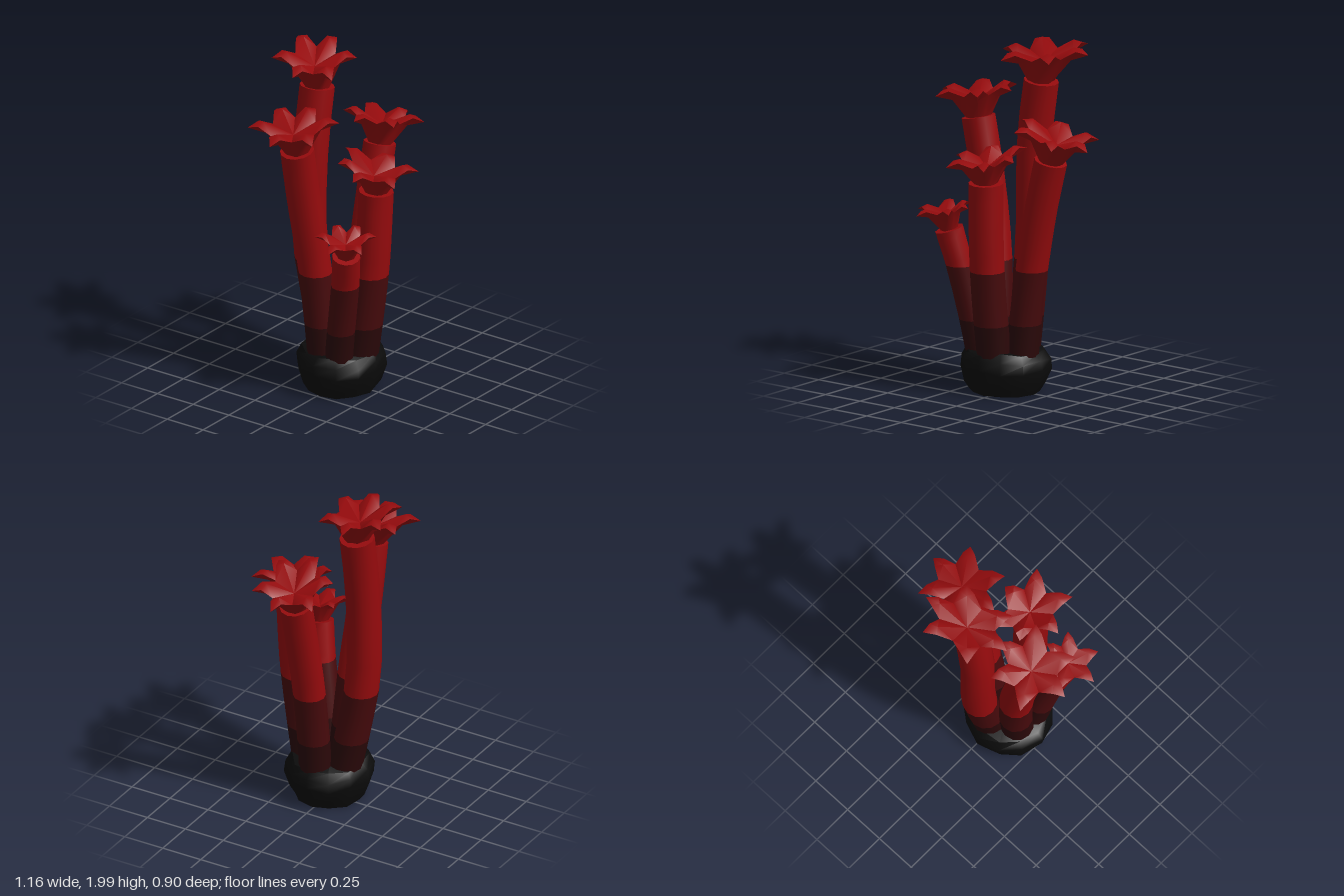
import * as THREE from 'three';
import { toCreasedNormals } from 'three/addons/utils/BufferGeometryUtils.js';

const V = (x, y, z) => new THREE.Vector3(x, y, z);
const mat = (name, color, side = THREE.FrontSide) => {
  const m = new THREE.MeshStandardMaterial({ color, side });
  m.name = name;
  return m;
};

// triangles (lists of three points) to a geometry with sharp edges kept
function fromTriangles(tris, crease) {
  const g = new THREE.BufferGeometry().setFromPoints(tris.flat());
  return toCreasedNormals(g, crease);
}

// skin a stack of rings, with optional end caps
function loft(rings, crease, capBottom, capTop) {
  const tris = [], n = rings[0].length;
  const centre = r => r.reduce((s, p) => s.add(p), V(0, 0, 0)).divideScalar(n);
  for (let j = 0; j < rings.length - 1; j++) {
    for (let i = 0; i < n; i++) {
      const k = (i + 1) % n;
      const a = rings[j][i], b = rings[j][k], c = rings[j + 1][k], d = rings[j + 1][i];
      tris.push([a, d, b], [b, d, c]);
    }
  }
  const bottom = rings[0], top = rings[rings.length - 1];
  for (let i = 0; i < n; i++) {
    const k = (i + 1) % n;
    if (capBottom) tris.push([centre(bottom), bottom[i], bottom[k]]);
    if (capTop) tris.push([centre(top), top[k], top[i]]);
  }
  return fromTriangles(tris, crease);
}

// ring of points around the stalk at height y; upper rings lean with the stalk
function stalkRing(curve, y, radius, lean) {
  let lo = 0, hi = 1;
  for (let i = 0; i < 30; i++) {
    const mid = (lo + hi) / 2;
    if (curve.getPoint(mid).y < y) lo = mid; else hi = mid;
  }
  const p = curve.getPoint(lo), t = curve.getTangent(lo);
  return Array.from({ length: 12 }, (_, i) => {
    const a = i / 12 * Math.PI * 2, c = Math.cos(a) * radius, s = Math.sin(a) * radius;
    return V(p.x + c, p.y - lean * (t.x * c + t.z * s) / t.y, p.z + s);
  });
}

// six-petalled cup: tips are [x, z] pairs, heights follow a tilted plane
function flowerGeometry(base, { tips, y, sx, sz }) {
  const n = tips.length;
  const cx = tips.reduce((s, t) => s + t[0], 0) / n;
  const cz = tips.reduce((s, t) => s + t[1], 0) / n;
  const angle = t => Math.atan2(t[1] - cz, t[0] - cx);
  const T = tips.slice().sort((p, q) => angle(p) - angle(q))
    .map(([x, z]) => V(x, y + sx * (x - cx) + sz * (z - cz), z));
  const C = V(cx, y, cz);
  const size = T.reduce((s, t) => s + t.distanceTo(C), 0) / n;
  const at = (p, f, dy) => C.clone().lerp(p, f).add(V(0, dy * size, 0));
  const heart = at(C, 0, -0.2);
  const ring = p => base.clone().add(p.clone().sub(C).setLength(size * 0.28));
  const valley = T.map((t, i) => at(t.clone().lerp(T[(i + 1) % n], 0.5), 0.65, -0.06));
  // arched edge of a petal, halfway from valley to tip
  const edge = (v, t) => at(v.clone().lerp(t, 0.5), 1.04, 0.13);
  const tris = [];
  T.forEach((t, i) => {
    const v0 = valley[(i + n - 1) % n], v1 = valley[i];
    const e0 = edge(v0, t), e1 = edge(v1, t);
    const ridge = at(t, 0.66, 0.15), keel = at(t, 0.6, -0.14);
    const b0 = ring(v0), b = ring(t), b1 = ring(v1);
    // upper face
    tris.push([heart, ridge, v0], [heart, v1, ridge]);
    tris.push([v0, ridge, e0], [e0, ridge, t], [ridge, v1, e1], [ridge, e1, t]);
    // underside and cup
    tris.push([keel, v0, e0], [keel, e0, t], [keel, t, e1], [keel, e1, v1]);
    tris.push([b0, v0, b], [b, v0, keel], [b, keel, b1], [b1, keel, v1]);
  });
  return fromTriangles(tris, 1.0);
}

export function createModel() {
  const model = new THREE.Group();
  const black = mat('rock black', 0x0b0b0b);
  const darkest = mat('deep maroon', 0x2b0809);
  const dark = mat('maroon', 0x470a0c);
  const red = mat('red', 0x960b0d);
  const petalRed = mat('petal red', 0x960b0d, THREE.DoubleSide);
  const add = (parent, name, geometry, material) => {
    const m = new THREE.Mesh(geometry, material);
    m.name = name;
    parent.add(m);
  };

  // lumpy base rock: height and width factor of each loop
  const loops = [[0, 0.78], [0.05, 0.89], [0.14, 1], [0.2, 0.99], [0.245, 0.86]];
  const rockRings = loops.map(([y, f], j) => Array.from({ length: 12 }, (_, i) => {
    const a = i / 12 * Math.PI * 2;
    const r = f * (1 + 0.03 * Math.sin(i * 2.7 + j * 1.3));
    const lift = y > 0 ? 0.01 * Math.sin(i * 1.9 + j) : 0;
    return V(-0.035 + 0.265 * r * Math.cos(a), y + lift, 0.015 + 0.25 * r * Math.sin(a));
  }));
  add(model, 'baseRock', loft(rockRings, 0.9, true, true), black);

  // each stalk: centre line from rock to top, radius, and its flower
  const stalks = [
    { name: 'tall', r: 0.1, path: [[0, 0.15, -0.09], [-0.01, 0.45, -0.15], [-0.02, 0.85, -0.215], [-0.01, 1.4, -0.215], [0.045, 1.77, -0.21]],
      flower: { y: 1.93, sx: 0.03, sz: -0.12, tips: [[0.19, -0.45], [0.33, -0.28], [0.22, -0.06], [-0.09, -0.01], [-0.22, -0.19], [-0.12, -0.41]] } },
    { name: 'backLeftmost', r: 0.097, path: [[-0.14, 0.15, -0.02], [-0.15, 0.45, -0.045], [-0.18, 0.8, -0.07], [-0.24, 1.15, -0.09], [-0.315, 1.53, -0.09]],
      flower: { y: 1.675, sx: 0.12, sz: 0, tips: [[-0.46, -0.33], [-0.21, -0.31], [-0.1, -0.12], [-0.17, 0.1], [-0.46, 0.12], [-0.58, -0.09]] } },
    { name: 'leaning', r: 0.093, path: [[0.095, 0.15, 0.03], [0.125, 0.45, 0.03], [0.18, 0.8, 0.03], [0.24, 1.1, 0.035], [0.31, 1.385, 0.035]],
      flower: { y: 1.53, sx: -0.23, sz: 0, tips: [[0.24, -0.17], [0.49, -0.18], [0.58, 0.04], [0.47, 0.23], [0.19, 0.22], [0.08, 0.02]] } },
    { name: 'front', r: 0.1, path: [[-0.015, 0.15, 0.13], [-0.015, 0.45, 0.175], [-0.01, 0.8, 0.215], [0, 1.25, 0.235]],
      flower: { y: 1.385, sx: 0.03, sz: -0.1, tips: [[0.08, -0.04], [0.19, 0.22], [0.14, 0.43], [-0.12, 0.45], [-0.22, 0.23], [-0.1, 0.04]] } },
    { name: 'short', r: 0.08, path: [[-0.155, 0.15, 0.08], [-0.19, 0.45, 0.13], [-0.235, 0.75, 0.19], [-0.275, 0.94, 0.225]],
      flower: { y: 1.055, sx: 0.12, sz: -0.1, tips: [[-0.38, 0.08], [-0.22, 0.1], [-0.14, 0.22], [-0.17, 0.36], [-0.37, 0.4], [-0.48, 0.25]] } },
  ];

  for (const { name, r, path, flower } of stalks) {
    const g = new THREE.Group();
    g.name = name + 'Stalk';
    model.add(g);
    const curve = new THREE.CatmullRomCurve3(path.map(p => V(...p)));
    const topY = path[path.length - 1][1];
    // colour bands between fixed heights
    const bands = [['stalkFoot', 0.15, 0.41, darkest], ['stalkMiddle', 0.41, 0.73, dark], ['stalkUpper', 0.73, topY, red]];
    for (const [part, y0, y1, material] of bands) {
      const upper = material === red, steps = upper ? 5 : 2;
      const rings = Array.from({ length: steps + 1 }, (_, i) => {
        const f = i / steps;
        return stalkRing(curve, y0 + (y1 - y0) * f, r, upper ? f : 0);
      });
      add(g, part, loft(rings, 0.8, false, upper), material);
    }
    add(g, 'flower', flowerGeometry(V(...path[path.length - 1]), flower), petalRed);
  }
  return model;
}
